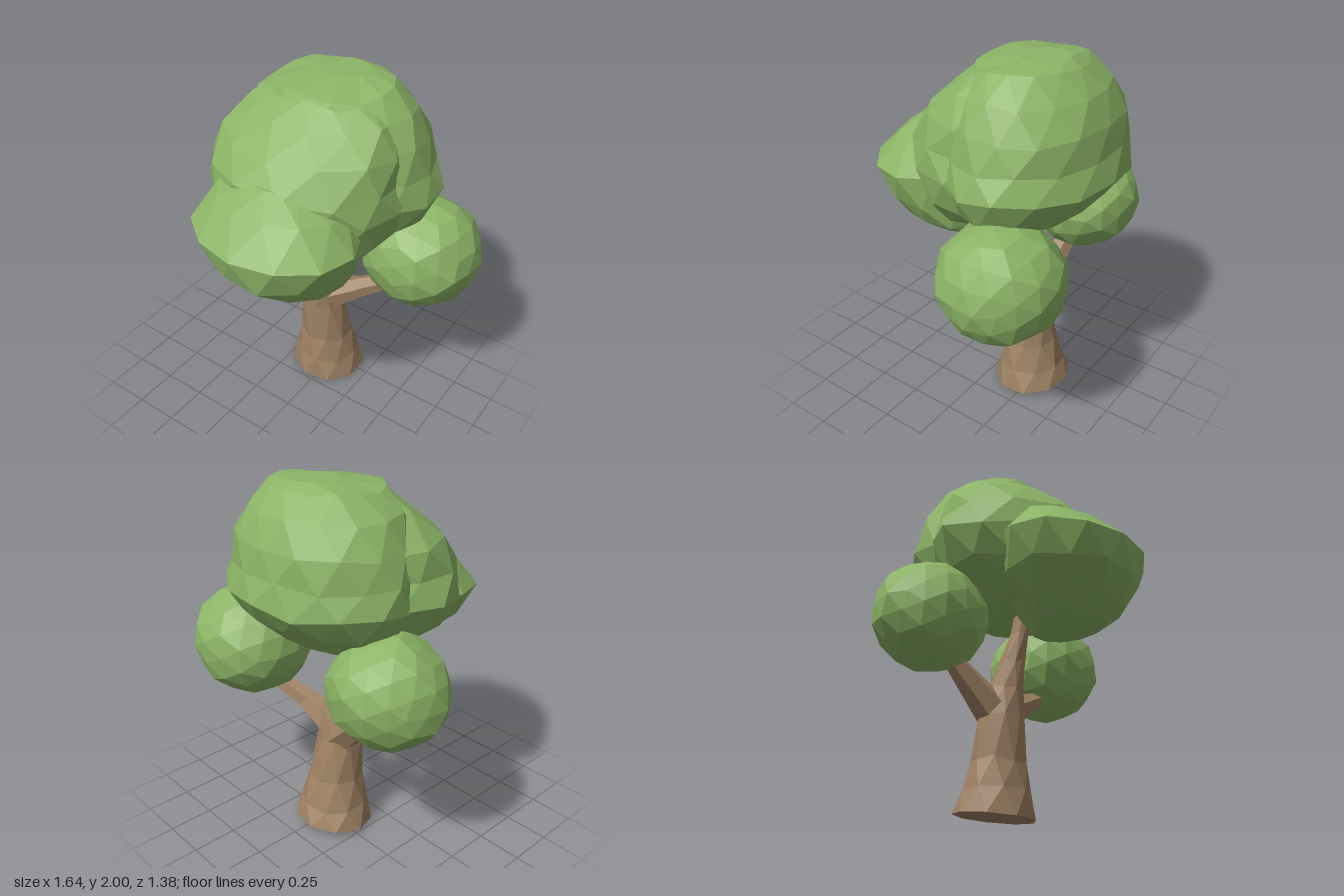
import * as THREE from 'three';
import { mergeVertices } from 'three/addons/utils/BufferGeometryUtils.js';

const leaf = new THREE.MeshStandardMaterial({ color: 0x8cb466, flatShading: true });
const bark = new THREE.MeshStandardMaterial({ color: 0x9e8264, flatShading: true });

// Small seeded noise in -1..1
function makeNoise(seed) {
  let s = seed;
  return () => {
    s = (s * 16807) % 2147483647;
    return (s / 2147483647) * 2 - 1;
  };
}

function addMesh(parent, name, geometry, material) {
  const mesh = new THREE.Mesh(geometry, material);
  mesh.name = name;
  parent.add(mesh);
  return mesh;
}

// Faceted solid through horizontal rings listed from top to bottom.
// Ring: [y, xMin, xMax, zBack, zFront]; tilt lowers the front of the last ring.
function loft(rings, { sides = 12, jitter = 0.02, seed = 7, tilt = 0 } = {}) {
  const noise = makeNoise(seed);
  const pos = [];
  const index = [];
  const last = rings.length - 1;
  rings.forEach(([y, x0, x1, z0, z1], i) => {
    const end = i === 0 || i === last;
    for (let j = 0; j < sides; j++) {
      const a = ((j + (i % 2) * 0.5) / sides) * Math.PI * 2;
      const k = 1.02 + noise() * jitter;
      pos.push(
        (x0 + x1) / 2 + (Math.cos(a) * k * (x1 - x0)) / 2,
        y + (end ? 0 : noise() * jitter) - (i === last ? Math.sin(a) * tilt : 0),
        (z0 + z1) / 2 + (Math.sin(a) * k * (z1 - z0)) / 2
      );
    }
  });
  for (let i = 0; i < last; i++) {
    for (let j = 0; j < sides; j++) {
      const n = (j + 1) % sides;
      const a = i * sides + j, b = i * sides + n;
      const c = a + sides, d = b + sides;
      // Alternate the diagonal so it follows the half-step between rings
      if (i % 2) index.push(b, d, a, a, d, c);
      else index.push(b, c, a, b, d, c);
    }
  }
  // End caps
  const top = pos.length / 3;
  for (const [y, x0, x1, z0, z1] of [rings[0], rings[last]]) pos.push((x0 + x1) / 2, y, (z0 + z1) / 2);
  for (let j = 0; j < sides; j++) {
    const n = (j + 1) % sides;
    index.push(top, n, j, top + 1, last * sides + j, last * sides + n);
  }
  const g = new THREE.BufferGeometry();
  g.setAttribute('position', new THREE.Float32BufferAttribute(pos, 3));
  g.setIndex(index);
  g.computeVertexNormals();
  return g;
}

// Slightly irregular faceted ball
function leafBall(radii, seed) {
  let g = new THREE.IcosahedronGeometry(1, 2);
  g.deleteAttribute('normal');
  g.deleteAttribute('uv');
  g = mergeVertices(g, 1e-3);
  const noise = makeNoise(seed);
  const p = g.attributes.position;
  const v = new THREE.Vector3();
  for (let i = 0; i < p.count; i++) {
    v.fromBufferAttribute(p, i).multiplyScalar(1 + noise() * 0.035).multiply(radii);
    p.setXYZ(i, v.x, v.y, v.z);
  }
  g.computeVertexNormals();
  return g;
}

// Tapered limb between two points
function limb(from, to, r0, r1) {
  const a = new THREE.Vector3(...from), b = new THREE.Vector3(...to);
  const dir = b.clone().sub(a);
  const g = new THREE.CylinderGeometry(r1, r0, dir.length(), 6, 2);
  g.applyQuaternion(new THREE.Quaternion().setFromUnitVectors(new THREE.Vector3(0, 1, 0), dir.normalize()));
  const mid = a.add(b).multiplyScalar(0.5);
  return g.translate(mid.x, mid.y, mid.z);
}

export function createModel() {
  const tree = new THREE.Group();
  tree.name = 'tree';

  // Trunk, flared at the foot and leaning forward at the top
  addMesh(tree, 'trunk', loft([
    [1.25, -0.04, 0.03, -0.08, 0.02],
    [1.03, -0.05, 0.035, -0.13, -0.02],
    [0.86, -0.085, 0.05, -0.2, -0.05],
    [0.7, -0.12, 0.07, -0.27, -0.06],
    [0.55, -0.17, 0.09, -0.3, -0.06],
    [0.3, -0.18, 0.13, -0.35, -0.06],
    [0.14, -0.22, 0.165, -0.4, -0.04],
    [0.025, -0.26, 0.2, -0.44, -0.02],
  ], { sides: 9, jitter: 0.015, seed: 11, tilt: 0.023 }), bark);

  // Side branches
  addMesh(tree, 'rightBranch', limb([-0.08, 0.57, -0.19], [-0.42, 0.89, -0.25], 0.105, 0.04), bark);
  addMesh(tree, 'leftBranchBase', limb([0.0, 0.6, -0.18], [0.2, 0.705, -0.23], 0.105, 0.06), bark);
  addMesh(tree, 'leftBranch', limb([0.17, 0.69, -0.222], [0.42, 0.815, -0.32], 0.065, 0.045), bark);

  // Side foliage
  addMesh(tree, 'rightFoliage', leafBall(new THREE.Vector3(0.325, 0.3, 0.305), 23), leaf)
    .position.set(-0.495, 1.035, -0.26);
  addMesh(tree, 'leftFoliage', leafBall(new THREE.Vector3(0.33, 0.315, 0.325), 41), leaf)
    .position.set(0.49, 1.025, -0.365);

  // Crown: rear dome, sloping middle and front lobe
  addMesh(tree, 'crownDome', loft([
    [2.0, -0.12, 0.14, -0.4, -0.16],
    [1.965, -0.31, 0.31, -0.46, 0.05],
    [1.86, -0.43, 0.42, -0.56, 0.1],
    [1.72, -0.51, 0.5, -0.63, 0.13],
    [1.58, -0.54, 0.54, -0.65, 0.14],
    [1.44, -0.55, 0.58, -0.68, 0.14],
    [1.3, -0.48, 0.51, -0.59, 0.1],
    [1.2, -0.36, 0.36, -0.48, 0.04],
    [1.14, -0.2, 0.2, -0.36, -0.04],
  ], { sides: 14, seed: 5 }), leaf);
  addMesh(tree, 'crownMiddle', loft([
    [1.95, -0.25, 0.25, -0.3, 0.05],
    [1.86, -0.4, 0.38, -0.38, 0.17],
    [1.72, -0.54, 0.46, -0.43, 0.31],
    [1.58, -0.57, 0.48, -0.45, 0.42],
    [1.43, -0.61, 0.5, -0.46, 0.4],
    [1.28, -0.51, 0.46, -0.4, 0.37],
    [1.13, -0.25, 0.32, -0.18, 0.34],
  ], { sides: 12, seed: 19 }), leaf);
  addMesh(tree, 'crownFrontLobe', loft([
    [1.62, -0.15, 0.17, 0.05, 0.4],
    [1.53, -0.34, 0.35, 0.0, 0.53],
    [1.37, -0.45, 0.46, -0.05, 0.68],
    [1.2, -0.37, 0.42, -0.06, 0.64],
    [1.09, -0.2, 0.35, -0.05, 0.52],
    [1.025, -0.06, 0.28, -0.03, 0.41],
  ], { sides: 12, seed: 31 }), leaf);

  return tree;
}
